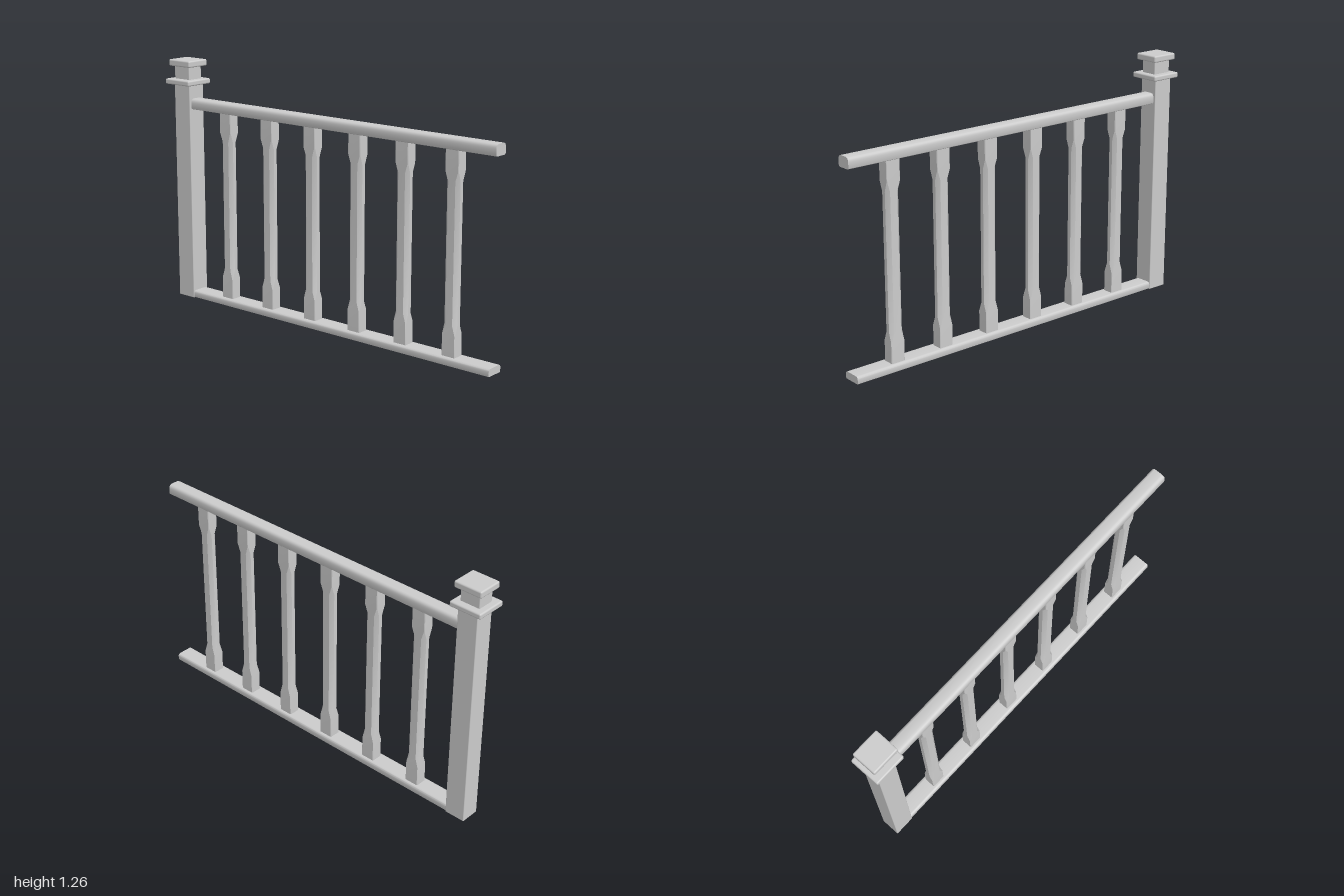
import * as THREE from 'three';
import { RoundedBoxGeometry } from 'three/addons/geometries/RoundedBoxGeometry.js';
import { toCreasedNormals } from 'three/addons/utils/BufferGeometryUtils.js';

const material = new THREE.MeshStandardMaterial({ color: 0xcccccc });

function part(name, geometry) {
  const mesh = new THREE.Mesh(geometry, material);
  mesh.name = name;
  return mesh;
}

// Softly rounded block given by its limits on each axis
function block(name, [x0, x1], [y0, y1], [z0, z1], radius) {
  const mesh = part(name, new RoundedBoxGeometry(x1 - x0, y1 - y0, z1 - z0, 2, radius));
  mesh.position.set((x0 + x1) / 2, (y0 + y1) / 2, (z0 + z1) / 2);
  return mesh;
}

// Rail running along x, with separate corner radii for its top and bottom
function rail(name, [x0, x1], [y0, y1], [z0, z1], top, bottom) {
  // Shape x becomes -z after the turn that lays the extrusion along +x
  const a = -z1, b = -z0;
  const s = new THREE.Shape();
  s.moveTo(a + bottom, y0);
  s.lineTo(b - bottom, y0);
  s.quadraticCurveTo(b, y0, b, y0 + bottom);
  s.lineTo(b, y1 - top);
  s.quadraticCurveTo(b, y1, b - top, y1);
  s.lineTo(a + top, y1);
  s.quadraticCurveTo(a, y1, a, y1 - top);
  s.lineTo(a, y0 + bottom);
  s.quadraticCurveTo(a, y0, a + bottom, y0);
  const g = new THREE.ExtrudeGeometry(s, { depth: x1 - x0, bevelEnabled: false, curveSegments: 5 });
  g.rotateY(Math.PI / 2).translate(x0, 0, 0);
  return part(name, toCreasedNormals(g, 0.6));
}

// Baluster: square blocks at the ends, corners cut away along the shaft
function balusterGeometry() {
  // [height, half width x, half depth z, corner cut]
  const sections = [
    [0.03, 0.037, 0.029, 0.003],
    [0.145, 0.037, 0.029, 0.003],
    [0.19, 0.036, 0.027, 0.017],
    [0.865, 0.036, 0.027, 0.017],
    [0.91, 0.037, 0.029, 0.003],
    [1.02, 0.037, 0.029, 0.003],
  ];
  const positions = [], index = [];
  for (const [y, w, d, c] of sections) {
    const ring = [[w, -d + c], [w, d - c], [w - c, d], [-w + c, d],
      [-w, d - c], [-w, -d + c], [-w + c, -d], [w - c, -d]];
    for (const [x, z] of ring) positions.push(x, y, z);
  }
  for (let s = 0; s < sections.length - 1; s++) {
    for (let i = 0; i < 8; i++) {
      const a = s * 8 + i, b = s * 8 + (i + 1) % 8;
      index.push(a, a + 8, b, b, a + 8, b + 8);
    }
  }
  const g = new THREE.BufferGeometry();
  g.setAttribute('position', new THREE.Float32BufferAttribute(positions, 3));
  g.setIndex(index);
  return toCreasedNormals(g, 0.5);
}

export function createModel() {
  const model = new THREE.Group();
  model.name = 'railing';

  // Newel post with collar, neck and cap
  const post = new THREE.Group();
  post.name = 'newelPost';
  post.add(
    block('postShaft', [-0.97, -0.862], [0, 1.145], [-0.056, 0.044], 0.004),
    block('postCollar', [-1, -0.832], [1.135, 1.163], [-0.08, 0.08], 0.008),
    block('postNeck', [-0.968, -0.864], [1.15, 1.24], [-0.045, 0.042], 0.004),
    block('postCap', [-0.988, -0.841], [1.228, 1.262], [-0.067, 0.064], 0.008),
  );
  model.add(post);

  // Handrail and bottom rail
  model.add(
    rail('handrail', [-0.88, 1], [1.01, 1.065], [-0.043, 0.032], 0.022, 0.01),
    rail('bottomRail', [-0.88, 1], [0.003, 0.04], [-0.053, 0.041], 0.014, 0.005),
  );

  // Evenly spaced balusters
  const geometry = balusterGeometry();
  for (let i = 0; i < 6; i++) {
    const baluster = part('baluster' + (i + 1), geometry);
    baluster.position.set(-0.636 + i * 0.2795, 0, -0.008);
    model.add(baluster);
  }
  return model;
}
